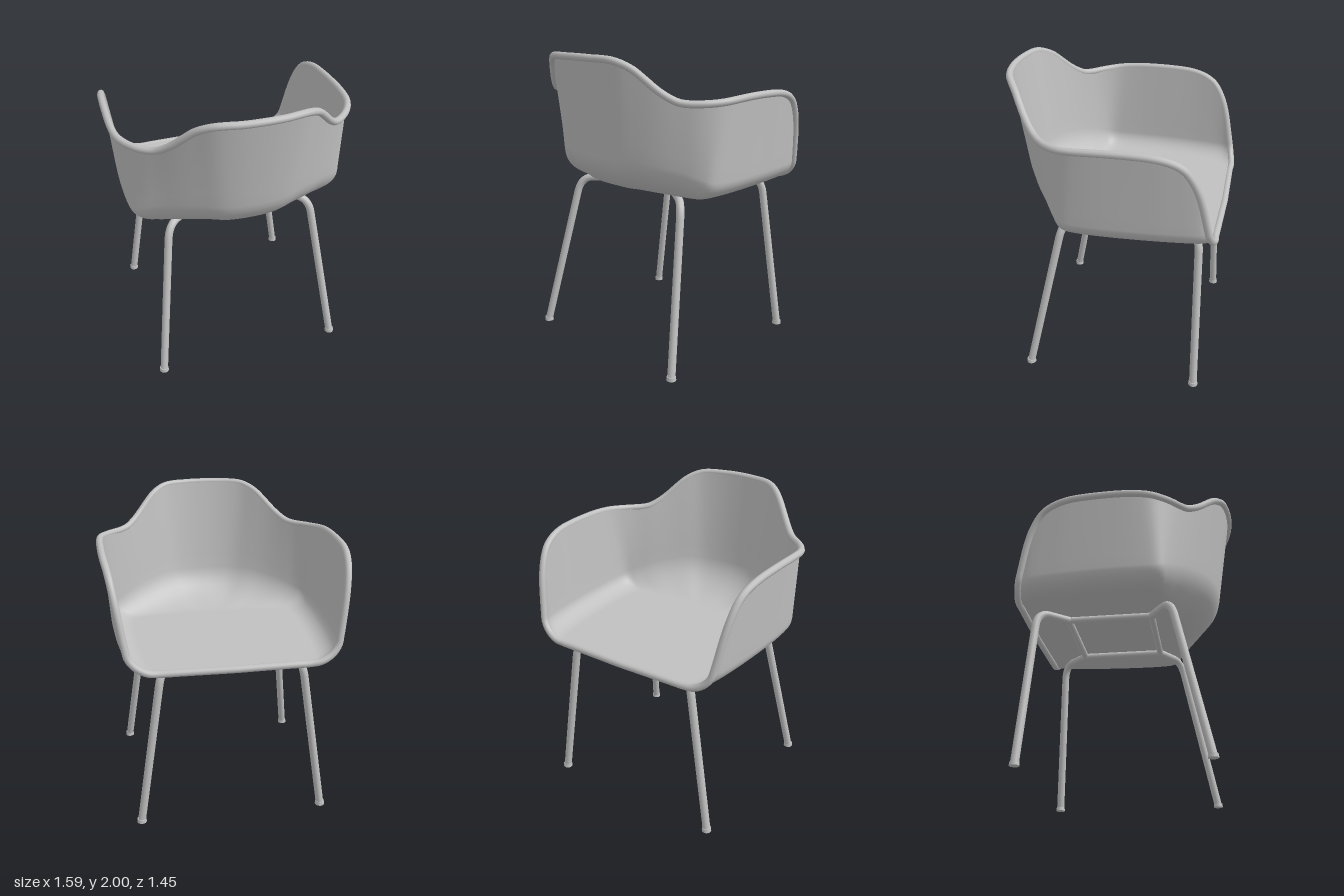
import * as THREE from 'three';

const V = (x, y, z) => new THREE.Vector3(x, y, z);
const SEAT_Y = 1.105, WALL_REF = 0.6, THICK = 0.016;

// Shell sections from the front corner round to the middle of the back:
// wall foot x, z | wall at reference height x, z | wall height | fillet radius | spine z
const HALF = [
  [0.62, -0.70, 0.66, -0.70, 0.01, 0.12, -0.712],
  [0.64, -0.68, 0.685, -0.67, 0.10, 0.12, -0.69],
  [0.655, -0.655, 0.70, -0.64, 0.24, 0.12, -0.66],
  [0.665, -0.63, 0.715, -0.60, 0.40, 0.12, -0.62],
  [0.675, -0.58, 0.725, -0.55, 0.52, 0.12, -0.57],
  [0.685, -0.50, 0.735, -0.48, 0.59, 0.12, -0.50],
  [0.70, -0.35, 0.75, -0.34, 0.63, 0.12, -0.36],
  [0.715, -0.10, 0.76, -0.10, 0.638, 0.12, -0.14],
  [0.715, 0.12, 0.76, 0.08, 0.632, 0.12, 0.0],
  [0.70, 0.24, 0.74, 0.20, 0.622, 0.13, 0.06],
  [0.64, 0.29, 0.67, 0.31, 0.615, 0.16, 0.09],
  [0.55, 0.345, 0.57, 0.40, 0.625, 0.20, 0.11],
  [0.43, 0.42, 0.47, 0.48, 0.70, 0.23, 0.12],
  [0.32, 0.48, 0.36, 0.55, 0.81, 0.25, 0.13],
  [0.20, 0.535, 0.25, 0.61, 0.862, 0.25, 0.13],
  [0.10, 0.555, 0.125, 0.64, 0.87, 0.25, 0.13],
  [0, 0.56, 0, 0.648, 0.872, 0.25, 0.13],
];
const mirrorKey = ([bx, bz, wx, ...rest]) => [-bx, bz, -wx, ...rest];
const KEYS = [...HALF, ...HALF.slice(0, -1).reverse().map(mirrorKey)];

// Catmull-Rom interpolation of a whole section row
function sectionAt(s) {
  const n = KEYS.length - 1, i = Math.min(Math.floor(s), n - 1), t = s - i;
  const k = (j) => KEYS[Math.max(0, Math.min(n, j))];
  return KEYS[0].map((_, c) => {
    const [a, b, d, e] = [k(i - 1)[c], k(i)[c], k(i + 1)[c], k(i + 2)[c]];
    return 0.5 * (2 * b + (d - a) * t + (2 * a - 5 * b + 4 * d - e) * t * t + (3 * b - a - 3 * d + e) * t ** 3);
  });
}

// One section: flat seat, rounded foot, leaning wall; inset by th for the inner skin
const FLOOR = 8, FILLET = 9, WALL = 6;
function sectionPoints(s, th) {
  const [bx, bz, wx, wz, height, r, cz] = sectionAt(s);
  const len = Math.hypot(bx, bz - cz), dx = bx / len, dz = (bz - cz) / len;
  const h = Math.max(height, th + 0.01), ry = r - th, rh = r * 1.2 - th;
  const place = (inset, y) => {
    const lean = y / WALL_REF;
    return V(dx * (len - inset) + (wx - bx) * lean, SEAT_Y + y, cz + dz * (len - inset) + (wz - bz) * lean);
  };
  const end = Math.acos(Math.max(0, 1 - (h - th) / ry));
  const start = place(th + rh, th), spine = V(0, SEAT_Y + th, cz), pts = [];
  for (let i = 0; i < FLOOR; i++) pts.push(spine.clone().lerp(start, i / FLOOR));
  for (let i = 0; i <= FILLET; i++) {
    const a = end * i / FILLET;
    pts.push(place(th + rh * (1 - Math.sin(a)), th + ry * (1 - Math.cos(a))));
  }
  const y0 = th + ry * (1 - Math.cos(end)), in0 = th + rh * (1 - Math.sin(end));
  for (let i = 1; i <= WALL; i++) pts.push(place(in0, y0 + (h - y0) * i / WALL));
  return pts;
}

const STEPS = (KEYS.length - 1) * 4;
const sections = (th) => Array.from({ length: STEPS + 1 }, (_, i) => sectionPoints(i / 4, th));

function skin(rows, flip) {
  const w = rows[0].length, index = [];
  for (let i = 0; i < rows.length - 1; i++) {
    for (let j = 0; j < w - 1; j++) {
      const a = i * w + j, b = a + 1, c = a + w, d = c + 1;
      if (flip) index.push(a, c, b, b, c, d);
      else index.push(a, b, c, b, d, c);
    }
  }
  const g = new THREE.BufferGeometry().setFromPoints(rows.flat());
  g.setIndex(index);
  g.computeVertexNormals();
  return g;
}

export function createModel() {
  const chair = new THREE.Group();
  chair.name = 'armchair';
  const grey = new THREE.MeshStandardMaterial({ color: 0xc0c0c0 });
  grey.name = 'light grey';
  const add = (name, geometry, parent = chair) => {
    const m = new THREE.Mesh(geometry, grey);
    m.name = name;
    parent.add(m);
    return m;
  };

  // Seat shell: outer and inner skins
  const outer = sections(0);
  add('shellOutside', skin(outer, false));
  add('shellInside', skin(sections(THICK), true));

  // Rolled rim round the arms, back and front seat edge
  const rimPoints = outer.filter((_, i) => i % 2 === 0).map((p) => {
    const q = p[p.length - 1].clone();
    const out = V(q.x, 0, q.z).normalize().multiplyScalar(0.006);
    return q.add(out);
  });
  const first = outer[0], last = outer[STEPS];
  for (let j = FLOOR; j >= 0; j -= 2) rimPoints.push(last[j].clone());
  for (let j = 2; j <= FLOOR; j += 2) rimPoints.push(first[j].clone());
  const rim = new THREE.CatmullRomCurve3(rimPoints, true);
  add('rim', new THREE.TubeGeometry(rim, 300, 0.023, 10, true));

  // Bent tube legs, reaching diagonally in to a rectangular frame under the seat
  const BAR_Y = 1.083;
  const legTypes = [
    ['backLeg', V(0.30, BAR_Y, 0.14), V(0.488, BAR_Y, 0.281), V(0.63, 0.01, 0.51)],
    ['frontLeg', V(0.30, BAR_Y, -0.42), V(0.447, BAR_Y, -0.602), V(0.61, 0.01, -0.635)],
  ];
  for (const [name, inner, knee, foot] of legTypes) {
    for (const side of [1, -1]) {
      const [a, k, f] = [inner, knee, foot].map((p) => V(p.x * side, p.y, p.z));
      const toward = (p, d) => k.clone().add(p.clone().sub(k).setLength(d));
      const p1 = toward(a, 0.09), p2 = toward(f, 0.11);
      const path = new THREE.CurvePath();
      path.add(new THREE.LineCurve3(a, p1));
      path.add(new THREE.QuadraticBezierCurve3(p1, k, p2));
      path.add(new THREE.LineCurve3(p2, f));
      const leg = new THREE.Group();
      leg.name = (side > 0 ? 'left ' : 'right ') + name;
      add('tube', new THREE.TubeGeometry(path, 60, 0.026, 14), leg);
      add('footCap', new THREE.CylinderGeometry(0.029, 0.032, 0.025, 16), leg).position.set(f.x, 0.0125, f.z);
      chair.add(leg);
    }
  }

  // Frame bars
  const bar = (name, a, b) => add(name, new THREE.TubeGeometry(new THREE.LineCurve3(a, b), 1, 0.022, 12));
  for (const z of [0.14, -0.42]) bar('crossBar', V(-0.30, BAR_Y, z), V(0.30, BAR_Y, z));
  for (const x of [-0.30, 0.30]) {
    bar('sideBar', V(x, BAR_Y, -0.42), V(x, BAR_Y, 0.14));
    for (const z of [0.14, -0.42]) add('frameJoint', new THREE.SphereGeometry(0.026, 14, 10)).position.set(x, BAR_Y, z);
  }
  return chair;
}
